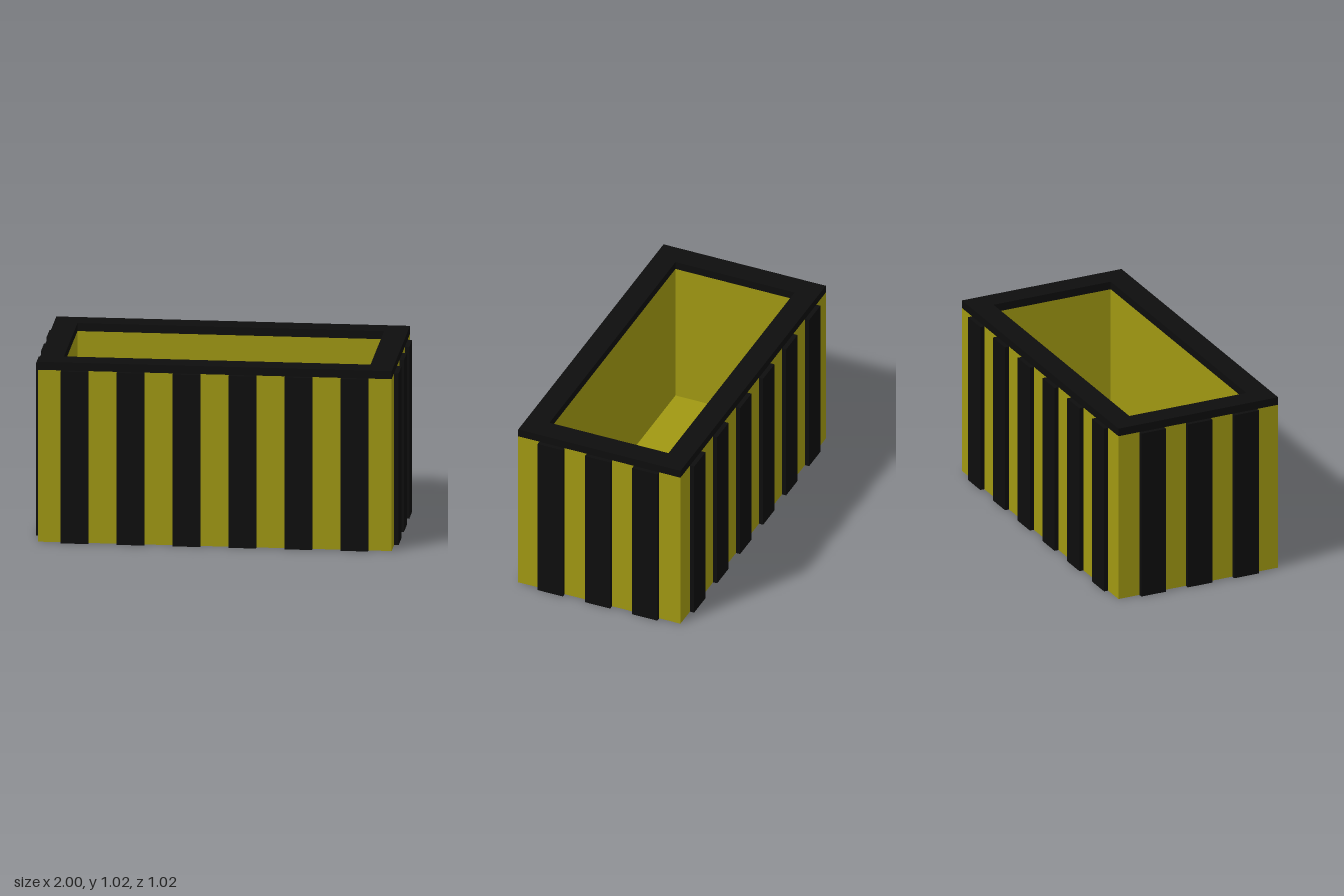
import * as THREE from 'three';

const W = 1.95, D = 0.975;           // outer width and depth of the body
const WALL = 0.13, BODY_H = 0.975, RIM_H = 0.045;
const STRIP_W = 0.152, PROUD = 0.025; // slat width and how far it stands out

const yellow = new THREE.MeshStandardMaterial({ color: 0xa09812 });
const black = new THREE.MeshStandardMaterial({ color: 0x0d0d0d });

function rectangle(PathType, w, d) {
  const p = new PathType();
  p.moveTo(-w / 2, -d / 2);
  p.lineTo(w / 2, -d / 2);
  p.lineTo(w / 2, d / 2);
  p.lineTo(-w / 2, d / 2);
  p.closePath();
  return p;
}

// Rectangular ring standing upright from y to y + h
function frame(name, y, h, material) {
  const shape = rectangle(THREE.Shape, W, D);
  shape.holes.push(rectangle(THREE.Path, W - 2 * WALL, D - 2 * WALL));
  const geo = new THREE.ExtrudeGeometry(shape, { depth: h, bevelEnabled: false });
  geo.rotateX(-Math.PI / 2);
  const mesh = new THREE.Mesh(geo, material);
  mesh.position.y = y;
  mesh.name = name;
  return mesh;
}

function box(name, w, h, d, x, y, z, material) {
  const mesh = new THREE.Mesh(new THREE.BoxGeometry(w, h, d), material);
  mesh.position.set(x, y, z);
  mesh.name = name;
  return mesh;
}

export function createModel() {
  const model = new THREE.Group();
  model.name = 'planterBox';

  // Open box: four walls, floor and top rim
  model.add(frame('walls', 0, BODY_H, yellow));
  model.add(box('floor', W - 2 * WALL, WALL, D - 2 * WALL, 0, WALL / 2, 0, yellow));
  model.add(frame('rim', BODY_H, RIM_H, black));

  // Upright slats on all four sides
  const slats = new THREE.Group();
  slats.name = 'slats';
  for (const side of [1, -1]) {
    for (let i = 0; i < 6; i++) {
      slats.add(box(side > 0 ? 'frontSlat' : 'backSlat', STRIP_W, BODY_H, PROUD,
        (i - 2.5) * 0.3085, BODY_H / 2, side * (D + PROUD) / 2, black));
    }
    for (let i = 0; i < 3; i++) {
      slats.add(box(side > 0 ? 'leftSlat' : 'rightSlat', PROUD, BODY_H, STRIP_W,
        side * (W + PROUD) / 2, BODY_H / 2, (i - 1) * 0.284, black));
    }
  }
  model.add(slats);
  return model;
}
